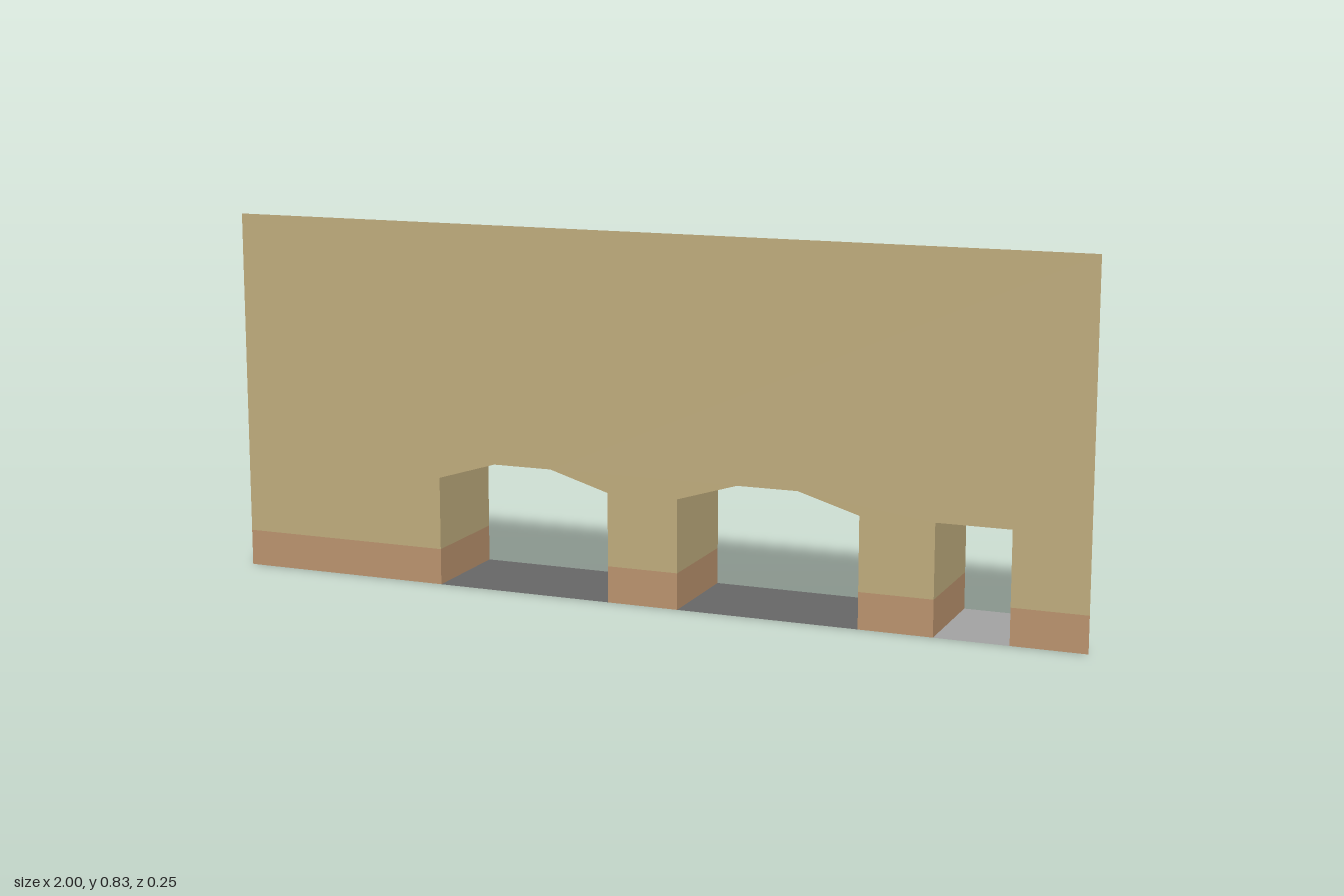
import * as THREE from 'three';

const material = (name, color) => {
  const m = new THREE.MeshStandardMaterial({ color, side: THREE.DoubleSide });
  m.name = name;
  return m;
};

const DEPTH = 0.25, BASE = 0.083, SPRING = 0.25, CROWN = 0.292;

export function createModel() {
  const group = new THREE.Group();
  const plaster = material('sandPlaster', 0xc4b080);
  const brick = material('brickBase', 0xbf9771);
  const asphalt = material('roadFloor', 0x686868);
  const pavement = material('pavementFloor', 0xa4a4a4);

  // Two arched road openings and one square footway
  const openings = [
    { name: 'leftArch', x0: -0.5, x1: -0.083, arched: true, floor: asphalt },
    { name: 'middleArch', x0: 0.083, x1: 0.5, arched: true, floor: asphalt },
    { name: 'footway', x0: 0.667, x1: 0.833, arched: false, floor: pavement },
  ];

  const add = (name, geometry, mat, z = 0) => {
    const mesh = new THREE.Mesh(geometry, mat);
    mesh.name = name;
    mesh.position.z = z;
    group.add(mesh);
  };

  // Ceiling line of an opening, from left spring to right spring
  const ceiling = ({ x0, x1, arched }) => {
    const third = (x1 - x0) / 3;
    return arched
      ? [[x0, SPRING], [x0 + third, CROWN], [x1 - third, CROWN], [x1, SPRING]]
      : [[x0, SPRING], [x1, SPRING]];
  };

  // Sweeps an open profile through the depth as flat strips
  const ribbon = (points) => {
    const a = DEPTH / 2, v = [];
    for (let i = 0; i + 1 < points.length; i++) {
      const [p, q] = [points[i], points[i + 1]];
      v.push(...p, a, ...p, -a, ...q, -a, ...p, a, ...q, -a, ...q, a);
    }
    const g = new THREE.BufferGeometry();
    g.setAttribute('position', new THREE.Float32BufferAttribute(v, 3));
    g.computeVertexNormals();
    return g;
  };

  // Thin wall with notched openings and a brick strip on each pier
  const facade = (name, x0, x1, top, z) => {
    const outline = [[x1, top], [x0, top]];
    let left = x0;
    const pier = (right) => {
      if (right - left < 0.001) return;
      outline.push([left, BASE], [right, BASE]);
      const strip = new THREE.PlaneGeometry(right - left, BASE);
      strip.translate((left + right) / 2, BASE / 2, 0);
      if (z < 0) strip.rotateY(Math.PI).scale(-1, 1, 1);
      add(name + 'Base', strip, brick, z);
    };
    for (const o of openings) {
      pier(o.x0);
      outline.push(...ceiling(o));
      left = o.x1;
    }
    pier(x1);
    const shape = new THREE.Shape(outline.map(([x, y]) => new THREE.Vector2(x, y)));
    add(name, new THREE.ShapeGeometry(shape), plaster, z);
  };

  facade('frontWall', -1, 1, 0.833, DEPTH / 2);
  facade('backWall', -0.5, 0.833, 0.333, -DEPTH / 2);

  // Passage linings and floors
  for (const o of openings) {
    const { name, x0, x1 } = o;
    add(name + 'Lining', ribbon([[x0, BASE], ...ceiling(o), [x1, BASE]]), plaster);
    for (const x of [x0, x1]) add(name + 'SideBase', ribbon([[x, 0], [x, BASE]]), brick);
    add(name + 'Floor', ribbon([[x1, 0], [x0, 0]].reverse()), o.floor);
  }
  return group;
}
